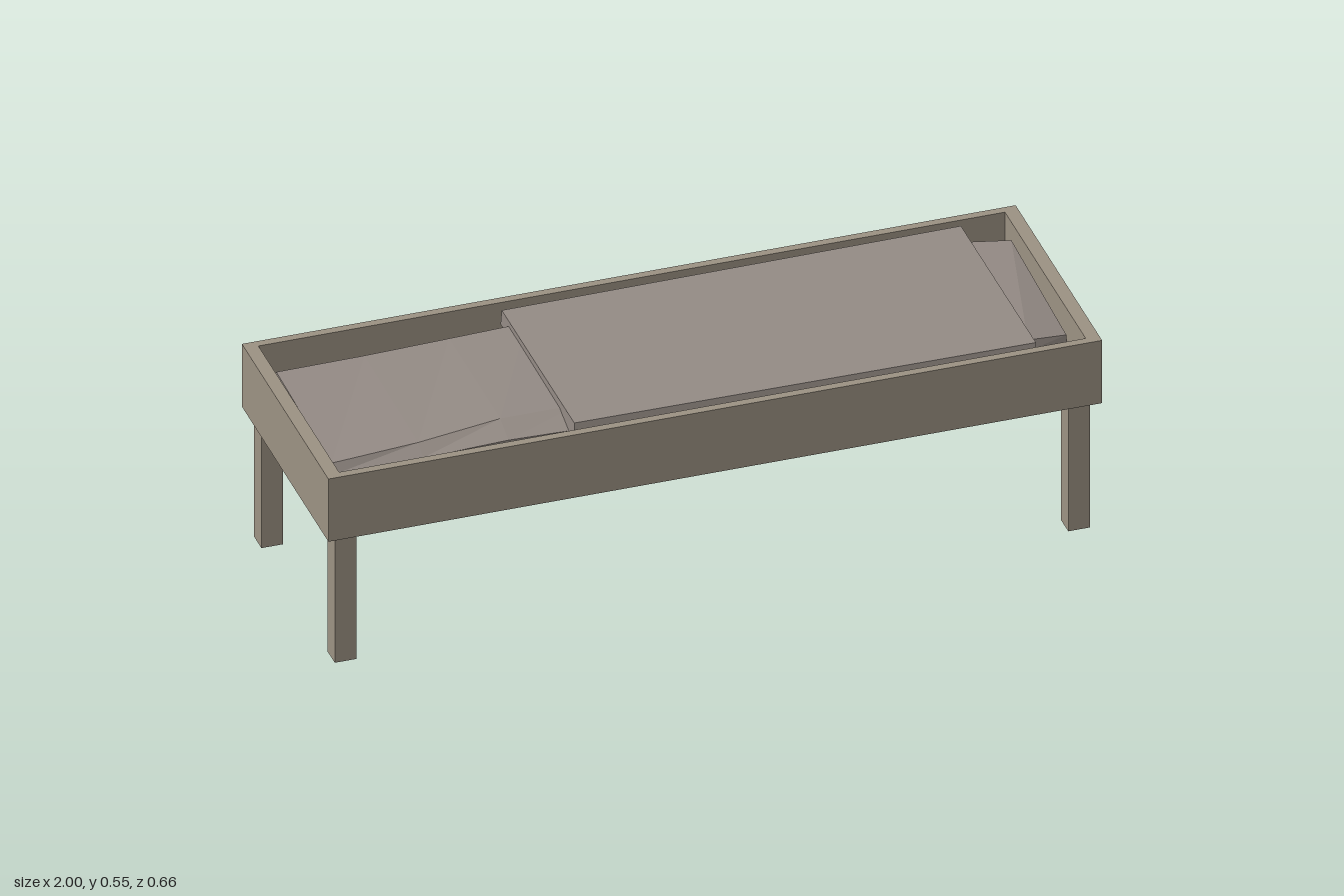
import * as THREE from 'three';

const wood = new THREE.MeshStandardMaterial({ color: 0x9c9283, flatShading: true });
const cloth = new THREE.MeshStandardMaterial({ color: 0x948b85, flatShading: true });

function add(parent, name, geometry, material) {
  const mesh = new THREE.Mesh(geometry, material);
  mesh.name = name;
  parent.add(mesh);
  return mesh;
}

// Box given by its lower and upper corners
function block(parent, name, [x0, y0, z0], [x1, y1, z1]) {
  const mesh = add(parent, name, new THREE.BoxGeometry(x1 - x0, y1 - y0, z1 - z0), wood);
  mesh.position.set((x0 + x1) / 2, (y0 + y1) / 2, (z0 + z1) / 2);
}

// Closed body through sections { x, ring: [[y, z], ...] }, ordered by x;
// each ring runs from back bottom over the top to front bottom
function loft(sections) {
  const n = sections[0].ring.length;
  const position = sections.flatMap(({ x, ring }) => ring.flatMap(([y, z]) => [x, y, z]));
  const index = [];
  for (let s = 0; s < sections.length - 1; s++) {
    for (let i = 0; i < n; i++) {
      const a = s * n + i, b = s * n + (i + 1) % n;
      index.push(a, b, a + n, b, b + n, a + n);
    }
  }
  const last = (sections.length - 1) * n;
  for (let i = 1; i < n - 1; i++) {
    index.push(0, i + 1, i, last, last + i, last + i + 1);
  }
  const geometry = new THREE.BufferGeometry();
  geometry.setAttribute('position', new THREE.Float32BufferAttribute(position, 3));
  geometry.setIndex(index);
  const flat = geometry.toNonIndexed();
  flat.computeVertexNormals();
  return flat;
}

export function createModel() {
  const model = new THREE.Group();
  model.name = 'bed';

  // Tray-shaped frame
  const frame = new THREE.Group();
  frame.name = 'frame';
  model.add(frame);
  const low = 0.367, high = 0.548, floor = 0.39, innerX = 0.965, innerZ = 0.308;
  block(frame, 'floorPanel', [-innerX, low, -innerZ], [innerX, floor, innerZ]);
  block(frame, 'backRail', [-innerX, low, -0.33], [innerX, high, -innerZ]);
  block(frame, 'frontRail', [-innerX, low, innerZ], [innerX, high, 0.33]);
  block(frame, 'rightEndBoard', [-1, low, -0.33], [-innerX, high, 0.33]);
  block(frame, 'leftEndBoard', [innerX, low, -0.33], [1, high, 0.33]);

  // Legs
  for (const x of [-0.948, 0.948]) {
    for (const z of [-0.28, 0.28]) {
      block(model, 'leg', [x - 0.028, 0, z - 0.028], [x + 0.028, low, z + 0.028]);
    }
  }

  // Slightly sagging mattress: x, back edge, back top, front top, front edge, heights
  const mattress = [
    [-0.95, -0.235, -0.215, 0.205, 0.22, 0.525, 0.51],
    [-0.72, -0.237, -0.222, 0.19, 0.224, 0.522, 0.515],
    [-0.5, -0.24, -0.226, 0.165, 0.228, 0.525, 0.525],
    [-0.3, -0.243, -0.23, 0.16, 0.232, 0.528, 0.522],
    [0.84, -0.25, -0.235, 0.235, 0.245, 0.53, 0.525],
    [0.95, -0.22, -0.215, 0.205, 0.212, 0.525, 0.5],
  ].map(([x, backEdge, backTop, frontTop, frontEdge, yBack, yFront]) => ({
    x,
    ring: [
      [floor, backEdge], [yBack - 0.025, backEdge], [yBack, backTop],
      [yFront, frontTop], [yFront - 0.025, frontEdge], [floor, frontEdge],
    ],
  }));
  add(model, 'mattress', loft(mattress), cloth);

  // Blanket with short, flared sides
  const blanket = [
    [-0.345, -0.281, -0.29, 0.273, 0.281],
    [0.845, -0.29, -0.297, 0.283, 0.292],
  ].map(([x, backTop, backHem, frontTop, frontHem]) => ({
    x,
    ring: [[0.497, backHem], [0.543, backTop], [0.545, frontTop], [0.497, frontHem]],
  }));
  add(model, 'blanket', loft(blanket), cloth);

  return model;
}
